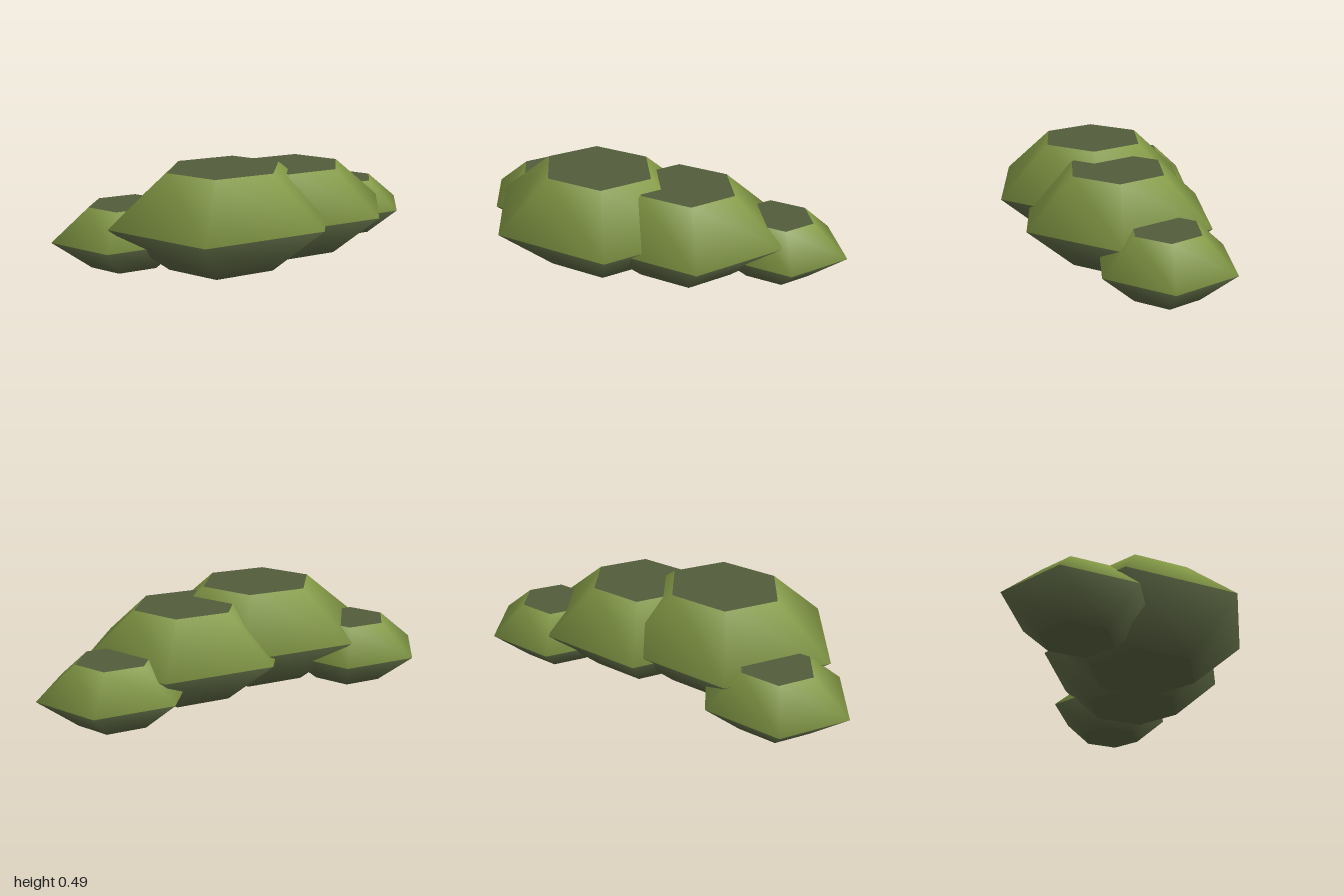
import * as THREE from 'three';

const leaf = new THREE.MeshStandardMaterial({ color: 0x849a46 });
leaf.name = 'leaf green';
const shade = new THREE.MeshStandardMaterial({ color: 0x525c3b });
shade.name = 'shaded green';

// One hexagonal clump: widest at mid height, half as wide at its flat ends.
function makeClump(name, [x, z], [rx, rz], [bottom, top]) {
  const clump = new THREE.Group();
  clump.name = name;
  const h = (top - bottom) / 2;

  // Smooth band from bottom ring over the waist to the top ring
  const profile = [[0.5, -1], [1, 0], [0.5, 1]].map(([r, y]) => new THREE.Vector2(r, y));
  const band = new THREE.LatheGeometry(profile, 6, Math.PI / 2);
  band.scale(rx, h, rz);

  // Split the band at the waist: lower quads shaded, upper quads green
  band.clearGroups();
  for (let i = 0; i < 6; i++) {
    band.addGroup(i * 12, 6, 1);
    band.addGroup(i * 12 + 6, 6, 0);
  }
  const side = new THREE.Mesh(band, [leaf, shade]);
  side.name = 'clumpSide';
  clump.add(side);

  // Flat hexagonal ends
  for (const s of [1, -1]) {
    const cap = new THREE.CircleGeometry(0.5, 6);
    cap.rotateX(-s * Math.PI / 2);
    cap.scale(rx, 1, rz);
    cap.translate(0, s * h, 0);
    const mesh = new THREE.Mesh(cap, shade);
    mesh.name = s > 0 ? 'clumpTop' : 'clumpBottom';
    clump.add(mesh);
  }

  clump.position.set(x, (top + bottom) / 2, z);
  return clump;
}

export function createModel() {
  const bush = new THREE.Group();
  bush.name = 'bush';
  bush.add(
    makeClump('largeClump', [-0.205, 0.056], [0.585, 0.527], [0.017, 0.491]),
    makeClump('mediumClump', [0.22, -0.047], [0.523, 0.483], [0.013, 0.447]),
    makeClump('leftSmallClump', [0.638, -0.236], [0.362, 0.328], [0, 0.295]),
    makeClump('rightSmallClump', [-0.628, -0.174], [0.372, 0.338], [0.005, 0.308]),
  );
  return bush;
}
